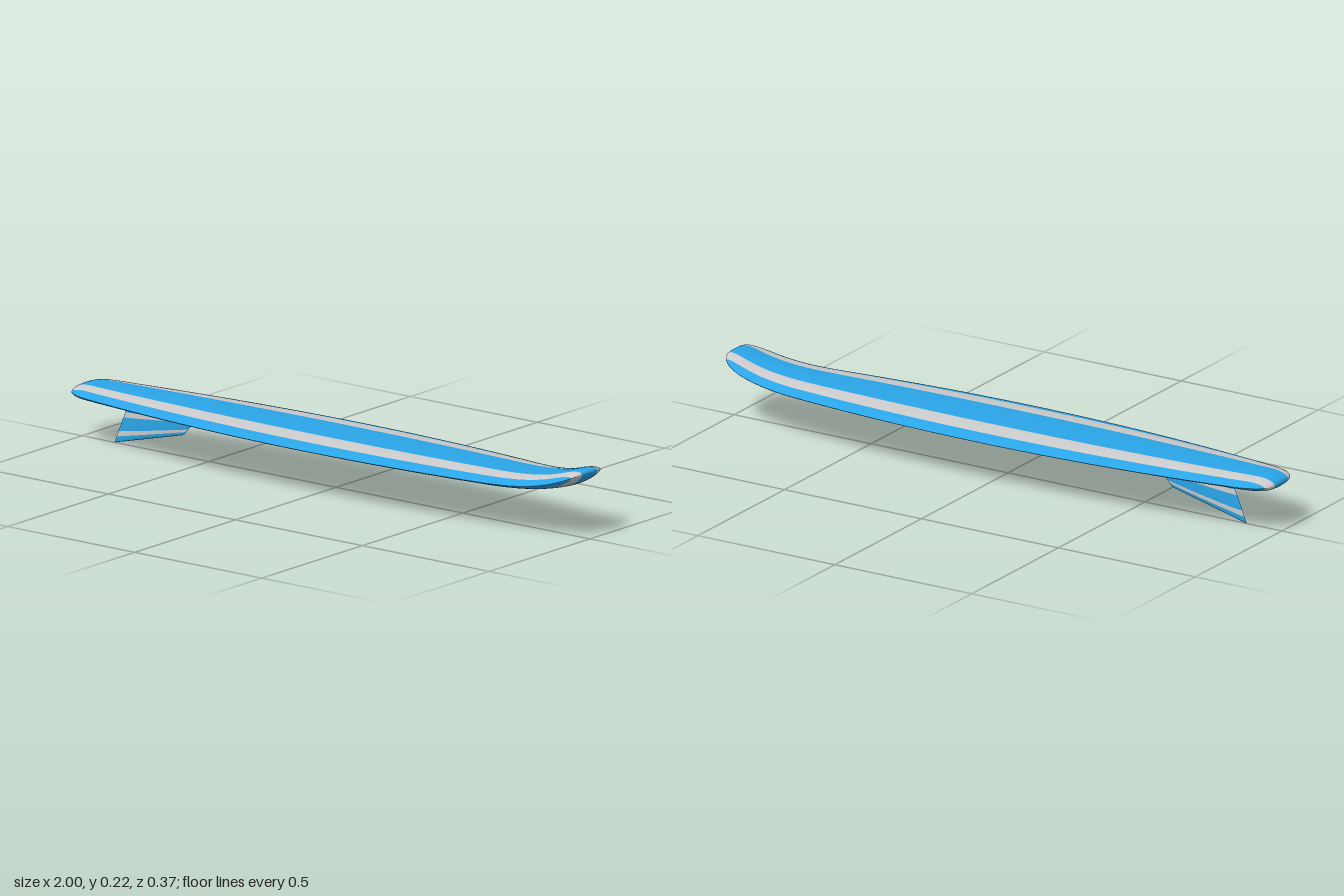
import * as THREE from 'three';

const blue = new THREE.MeshStandardMaterial({ color: 0x2aa5e8 });
const grey = new THREE.MeshStandardMaterial({ color: 0xcccccc });

// Lofts a grid of points; columns are split into a blue mesh and a grey stripe mesh
// that share the same smooth normals.
function loft(name, rows, ring, point, isStripe) {
  const pos = [], all = [], parts = [[], []], n = ring.length;
  for (const r of rows) for (const c of ring) pos.push(...point(r, c));
  for (let j = 0; j < n - 1; j++) {
    const part = parts[isStripe((ring[j].k + ring[j + 1].k) / 2) ? 1 : 0];
    for (let i = 0; i < rows.length - 1; i++) {
      const a = i * n + j, b = a + n;
      const quad = [a, b, b + 1, a, b + 1, a + 1];
      all.push(...quad);
      part.push(...quad);
    }
  }
  const full = new THREE.BufferGeometry();
  full.setAttribute('position', new THREE.Float32BufferAttribute(pos, 3));
  full.setIndex(all);
  full.computeVertexNormals();

  const group = new THREE.Group();
  group.name = name;
  parts.forEach((index, p) => {
    const geo = new THREE.BufferGeometry();
    geo.setAttribute('position', full.attributes.position);
    geo.setAttribute('normal', full.attributes.normal);
    geo.setIndex(index);
    const mesh = new THREE.Mesh(geo, p ? grey : blue);
    mesh.name = name + (p ? 'Stripes' : 'Body');
    group.add(mesh);
  });
  return group;
}

// Quarter-round falloff from 1 to 0 over the last stretch before an edge
const round = d => (d >= 1 ? 1 : Math.sqrt(Math.max(0, 1 - (1 - d) ** 2)));

function createBoard() {
  const N = 72;
  const rows = Array.from({ length: N + 1 }, (_, i) => -Math.cos((Math.PI * i) / N));
  const half = [1, 0.99, 0.96, 0.9, 0.83, 0.745, 0.63, 0.52, 0.4, 0.2];
  const across = [...half, 0, ...half.map(s => -s).reverse()];
  const ring = [
    ...across.map(k => ({ k, side: 1 })),
    ...across.slice().reverse().map(k => ({ k, side: -1 })),
  ];
  const point = (t, { k, side }) => {
    const end = 0.9 + 0.1 * Math.sqrt(Math.max(0, 1 - k ** 4)); // rounded outline at nose and tail
    const x = t * end;
    const width = 0.187 - 0.091 * x * x;
    const rise = 0.054 * Math.max(0, (x - 0.65) / 0.35) ** 3;   // upturned nose
    const thick = 0.025 * (1 - Math.abs(k) ** 2.2) ** 0.75 * round((end - Math.abs(x)) / 0.06);
    return [x, 0.158 + rise + side * thick, k * width];
  };
  return loft('board', rows, ring, point, k => Math.abs(k) > 0.4 && Math.abs(k) < 0.745);
}

function createFin() {
  const N = 24;
  const rows = Array.from({ length: N + 1 }, (_, i) => (1 - Math.cos((Math.PI * i) / N)) / 2);
  const up = [0, 0.01, 0.03, 0.07, 0.14, 0.26, 0.4, 0.58, 0.7, 0.85, 1];
  const ring = [
    ...up.slice().reverse().map(k => ({ k, side: -1 })),
    ...up.slice(1).map(k => ({ k, side: 1 })),
  ];
  const lerp = THREE.MathUtils.lerp;
  const point = (u, { k, side }) => {
    // swept quadrilateral between trailing and leading edge, with a lens section
    const x = lerp(lerp(-0.872, -0.812, k), lerp(-0.6, -0.532, k), u);
    const y = lerp(lerp(0, 0.148, k), lerp(0.068, 0.148, k), u);
    const thick = 0.007 * Math.sqrt(Math.max(0, Math.sin(Math.PI * u))) * round(k / 0.3);
    return [x, y, side * thick];
  };
  return loft('fin', rows, ring, point, k => (k > 0.14 && k < 0.26) || (k > 0.58 && k < 0.7));
}

export function createModel() {
  const model = new THREE.Group();
  model.name = 'surfboard';
  model.add(createBoard(), createFin());
  return model;
}
